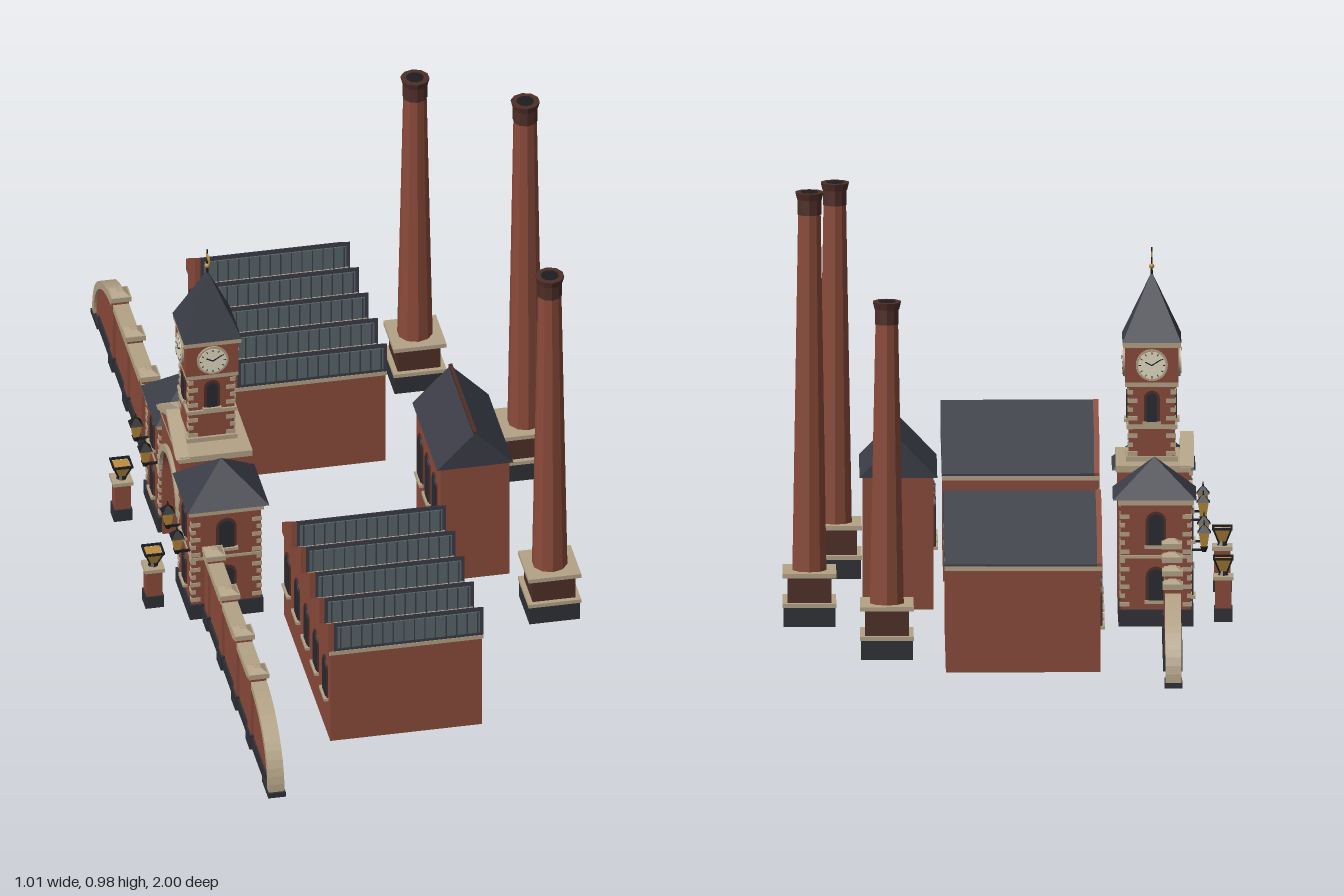
import * as THREE from 'three';

const mat = (name, color) => {
  const m = new THREE.MeshStandardMaterial({ color });
  m.name = name;
  return m;
};

export function createModel() {
  const brick = mat('brick', 0x8a4a3a), darkBrick = mat('dark brick', 0x4e2e27), slate = mat('slate', 0x3a3c46),
    stone = mat('stone', 0xb3a286), plinth = mat('plinth', 0x2e3036), iron = mat('iron', 0x1d1d20),
    gold = mat('gold', 0xbd8f3e), dial = mat('dial', 0xe2dac4), glass = mat('window glass', 0x272a30),
    skylight = mat('skylight', 0x58666a);
  const root = new THREE.Group();
  root.name = 'brickworks';

  // Helpers
  const group = (parent, name, x = 0, y = 0, z = 0, ry = 0) => {
    const g = new THREE.Group();
    g.name = name;
    g.position.set(x, y, z);
    g.rotation.y = ry;
    parent.add(g);
    return g;
  };
  const add = (parent, name, geo, m, x = 0, y = 0, z = 0) => {
    const mesh = new THREE.Mesh(geo, m);
    mesh.name = name;
    mesh.position.set(x, y, z);
    parent.add(mesh);
    return mesh;
  };
  // box standing on y0
  const box = (p, name, m, w, h, d, x, y0, z) => add(p, name, new THREE.BoxGeometry(w, h, d), m, x, y0 + h / 2, z);
  const facet = (g) => {
    const f = g.toNonIndexed();
    f.computeVertexNormals();
    return f;
  };
  const drum = (p, name, m, rt, rb, h, x, y0, z, n = 10) =>
    add(p, name, facet(new THREE.CylinderGeometry(rt, rb, h, n)), m, x, y0 + h / 2, z);
  // four-sided taper
  const taper = (p, name, m, wt, wb, h, d, x, y0, z) => {
    const g = new THREE.CylinderGeometry(wt / Math.SQRT2, wb / Math.SQRT2, h, 4).rotateY(Math.PI / 4);
    g.scale(1, 1, d / wb);
    return add(p, name, facet(g), m, x, y0 + h / 2, z);
  };
  const poly = (pts) => new THREE.Shape(pts.map(([a, b]) => new THREE.Vector2(a, b)));
  // outline in (z, y) extruded along x from x0 to x1
  const slab = (p, name, m, shape, x0, x1) => {
    const g = new THREE.ExtrudeGeometry(shape, { depth: x1 - x0, bevelEnabled: false, curveSegments: 12 });
    return add(p, name, g.rotateY(-Math.PI / 2), m, x1, 0, 0);
  };
  const arched = (w, h) => {
    const s = new THREE.Shape();
    s.moveTo(-w / 2, 0);
    s.lineTo(w / 2, 0);
    s.lineTo(w / 2, h - w / 2);
    s.absarc(0, h - w / 2, w / 2, 0, Math.PI, false);
    return s;
  };
  const archWindow = (p, x, y, z, ry, w, h) => {
    const g = group(p, 'archedWindow', x, y, z, ry);
    const plate = (name, m, ww, hh, depth) =>
      add(g, name, new THREE.ExtrudeGeometry(arched(ww, hh), { depth, bevelEnabled: false, curveSegments: 6 }), m);
    plate('windowSurround', darkBrick, w + 0.012, h + 0.006, 0.003);
    plate('windowPane', glass, w, h, 0.005);
    box(g, 'windowBar', iron, 0.003, h - 0.002, 0.007, 0, 0, 0);
    box(g, 'windowSill', stone, w + 0.018, 0.007, 0.014, 0, -0.007, 0.003);
  };
  // staggered corner stones
  const quoins = (p, x0, x1, z0, z1, y0, y1) => {
    let i = 0;
    for (let y = y0; y < y1 - 0.01; y += 0.02, i++)
      for (const x of [x0, x1]) for (const z of [z0, z1])
        box(p, 'quoin', stone, i % 2 ? 0.012 : 0.022, 0.01, i % 2 ? 0.022 : 0.012,
          x + (x === x0 ? 1 : -1) * (i % 2 ? 0.004 : 0.009), y, z + (z === z0 ? 1 : -1) * (i % 2 ? 0.009 : 0.004));
  };
  const W = -Math.PI / 2;

  // Saw-tooth workshops
  for (const [z0, z1] of [[0.278, 0.802], [-0.806, -0.282]]) {
    const hall = group(root, 'workshop');
    const len = z1 - z0, mid = (z0 + z1) / 2, pitch = len / 5;
    box(hall, 'workshopWalls', brick, 0.346, 0.233, len - 0.004, -0.03, 0, mid);
    box(hall, 'workshopCornice', stone, 0.352, 0.01, len + 0.002, -0.03, 0.231, mid);
    for (let i = 0; i < 5; i++) {
      const a = z0 + i * pitch, b = a + pitch;
      slab(hall, 'sawtoothRoof', slate, poly([[a, 0.24], [b, 0.24], [b, 0.315], [a, 0.246]]), -0.195, 0.146);
      slab(hall, 'sawtoothGable', brick, poly([[a, 0.22], [b, 0.22], [b, 0.317], [a, 0.248]]), -0.207, -0.195);
      box(hall, 'roofGlazing', skylight, 0.325, 0.055, 0.004, -0.025, 0.25, b + 0.001);
      for (let k = 0; k < 14; k++)
        box(hall, 'glazingBar', slate, 0.003, 0.055, 0.005, -0.18 + k * 0.024, 0.25, b + 0.002);
      if (i) box(hall, 'valleyGutter', stone, 0.335, 0.004, 0.006, -0.025, 0.246, a + 0.005);
      archWindow(hall, -0.203, 0.1, a + pitch / 2, W, 0.04, 0.09);
    }
  }

  // Engine house
  const engine = group(root, 'engineHouse', 0.245, 0, 0.083);
  box(engine, 'engineWalls', brick, 0.158, 0.302, 0.27, 0, 0, 0);
  const gable = new THREE.ExtrudeGeometry(poly([[-0.087, 0.301], [0.087, 0.301], [0, 0.391]]), { depth: 0.28, bevelEnabled: false });
  add(engine, 'engineRoof', gable, slate, 0, 0, -0.14);
  box(engine, 'roofRidge', darkBrick, 0.008, 0.008, 0.28, 0, 0.387, 0);
  for (const z of [-0.08, 0, 0.08]) archWindow(engine, -0.079, 0.137, z, W, 0.04, 0.11);

  // Chimneys
  for (const [x, z, h] of [[0.274, -0.6, 0.806], [0.445, -0.202, 0.98], [0.385, 0.37, 0.893]]) {
    const c = group(root, 'chimney', x, 0, z);
    box(c, 'chimneyPlinth', plinth, 0.116, 0.045, 0.116, 0, 0, 0);
    box(c, 'plinthMoulding', stone, 0.12, 0.009, 0.12, 0, 0.044, 0);
    box(c, 'chimneyPedestal', darkBrick, 0.098, 0.06, 0.098, 0, 0.053, 0);
    box(c, 'pedestalCap', stone, 0.12, 0.01, 0.12, 0, 0.111, 0);
    drum(c, 'chimneyShaft', brick, 0.0265, 0.04, h - 0.165, 0, 0.12, 0);
    drum(c, 'chimneyNeck', darkBrick, 0.028, 0.028, 0.035, 0, h - 0.05, 0);
    drum(c, 'chimneyCrown', darkBrick, 0.033, 0.029, 0.016, 0, h - 0.016, 0);
    drum(c, 'flueMouth', iron, 0.02, 0.02, 0.002, 0, h - 0.001, 0);
  }

  // Gatehouses
  for (const s of [1, -1]) {
    const g = group(root, 'gatehouse', -0.33, 0, s * 0.18);
    box(g, 'gatehousePlinth', plinth, 0.168, 0.038, 0.16, 0, 0, 0);
    box(g, 'gatehouseWalls', brick, 0.158, 0.25, 0.15, 0, 0.036, 0);
    box(g, 'stringCourse', stone, 0.162, 0.007, 0.154, 0, 0.155, 0);
    box(g, 'eavesCornice', stone, 0.17, 0.012, 0.162, 0, 0.276, 0);
    taper(g, 'gatehouseRoof', slate, 0.001, 0.187, 0.084, 0.17, 0.003, 0.288, 0);
    quoins(g, -0.079, 0.079, -0.075, 0.075, 0.045, 0.27);
    for (const y of [0.06, 0.185]) {
      archWindow(g, 0, y, s * 0.075, s > 0 ? 0 : Math.PI, 0.034, 0.07);
      archWindow(g, -0.079, y, 0, W, 0.034, 0.07);
    }
    // wall lanterns
    for (const dz of [-0.052, 0.052]) {
      const l = group(g, 'wallLantern', -0.108, 0.165, dz);
      box(l, 'lanternBracket', iron, 0.03, 0.005, 0.005, 0.014, 0.002, 0);
      taper(l, 'lanternGlass', gold, 0.024, 0.014, 0.032, 0.014, 0, 0.013, 0);
      drum(l, 'lanternFoot', iron, 0.01, 0.005, 0.012, 0, 0, 0, 6);
      taper(l, 'lanternHood', iron, 0.006, 0.03, 0.016, 0.03, 0, 0.045, 0);
      drum(l, 'lanternFinial', iron, 0.001, 0.003, 0.012, 0, 0.06, 0, 6);
    }
  }

  // Archway
  const arch = group(root, 'archway');
  const R = 0.092, spring = 0.175;
  const span = poly([[-0.11, 0], [-0.11, 0.325], [0.11, 0.325], [0.11, 0], [R, 0]]);
  span.lineTo(R, spring);
  span.absarc(0, spring, R, 0, Math.PI, false);
  span.lineTo(-R, 0);
  slab(arch, 'archBlock', brick, span, -0.405, -0.245);
  const ring = new THREE.Shape().absarc(0, spring, R + 0.016, 0, Math.PI, false);
  ring.absarc(0, spring, R, Math.PI, 0, true);
  slab(arch, 'archRing', stone, ring, -0.413, -0.405);
  box(arch, 'archRoofSlab', stone, 0.168, 0.015, 0.226, -0.325, 0.323, 0);
  slab(arch, 'pediment', brick, poly([[-0.1, 0.335], [0.1, 0.335], [0, 0.385]]), -0.41, -0.39);
  slab(arch, 'pedimentCoping', stone,
    poly([[-0.115, 0.335], [-0.095, 0.335], [0, 0.382], [0.095, 0.335], [0.115, 0.335], [0, 0.396]]), -0.416, -0.385);

  // Iron gates
  const gates = group(root, 'ironGates', -0.35, 0, 0);
  for (const s of [-1, 1]) {
    for (let i = 0; i < 7; i++)
      box(gates, 'gateBar', iron, 0.005, i % 6 ? 0.18 : 0.19, 0.004, 0, 0.005, s * (0.005 + i * 0.0138));
    for (const y of [0.015, 0.085, 0.165]) box(gates, 'gateRail', iron, 0.005, 0.006, 0.088, 0, y, s * 0.046);
  }

  // Clock tower
  const tower = group(root, 'clockTower', -0.322, 0, 0);
  box(tower, 'towerShaft', brick, 0.104, 0.18, 0.104, 0, 0.335, 0);
  box(tower, 'towerBase', stone, 0.116, 0.012, 0.116, 0, 0.337, 0);
  box(tower, 'towerBand', stone, 0.114, 0.009, 0.114, 0, 0.412, 0);
  quoins(tower, -0.052, 0.052, -0.052, 0.052, 0.35, 0.51);
  box(tower, 'clockStageSill', stone, 0.12, 0.01, 0.12, 0, 0.508, 0);
  box(tower, 'clockStage', brick, 0.12, 0.084, 0.12, 0, 0.518, 0);
  box(tower, 'towerCornice', stone, 0.13, 0.012, 0.13, 0, 0.598, 0);
  taper(tower, 'spire', slate, 0.002, 0.132, 0.148, 0.132, 0, 0.609, 0);
  for (let i = 0; i < 4; i++) {
    const side = group(tower, 'towerSide', 0, 0, 0, i * Math.PI / 2);
    archWindow(side, 0, 0.428, 0.052, 0, 0.024, 0.064);
    const face = group(side, 'clockFace', 0, 0.558, 0.06);
    const disc = (name, m, r, d) => add(face, name, new THREE.CylinderGeometry(r, r, d, 28).rotateX(Math.PI / 2), m);
    disc('clockRim', stone, 0.036, 0.009);
    disc('clockDial', dial, 0.031, 0.012);
    for (const [len, a] of [[0.017, 1.1], [0.024, -1.0]]) {
      const hand = add(face, 'clockHand', new THREE.BoxGeometry(0.0025, len, 0.001).translate(0, len / 2, 0), iron, 0, 0, 0.0065);
      hand.rotation.z = a;
    }
    for (let k = 0; k < 12; k++) {
      const tick = add(face, 'hourMark', new THREE.BoxGeometry(0.0018, 0.005, 0.001).translate(0, 0.027, 0), iron, 0, 0, 0.006);
      tick.rotation.z = k * Math.PI / 6;
    }
  }
  drum(tower, 'finialRod', iron, 0.0015, 0.003, 0.065, 0, 0.75, 0, 6);
  add(tower, 'finialBall', new THREE.SphereGeometry(0.006, 10, 8), gold, 0, 0.772, 0);
  box(tower, 'weathervane', gold, 0.003, 0.012, 0.03, 0, 0.793, 0.012);

  // Boundary walls sweeping down to the ground
  const sweep = (inset, n = 14) => {
    const pts = [[0.07, 0.178 - inset]];
    for (let i = 0; i <= n; i++) {
      const a = (i / n) * Math.PI / 2;
      pts.push([0.775 + (0.22 - inset) * Math.sin(a), 0.012 + (0.166 - inset) * Math.cos(a)]);
    }
    return pts.map(([z, y]) => [z < 0.1 ? 0.25 : z, y]);
  };
  for (const ry of [0, Math.PI]) {
    const w = group(root, 'boundaryWall', -0.365, 0, 0, ry);
    const inner = sweep(0.018);
    slab(w, 'wallPanel', brick, poly([[0.25, 0.005], ...inner, [0.977, 0.005]]), -0.012, 0.012);
    slab(w, 'wallCoping', stone, poly([...sweep(0), ...inner.slice().reverse()]), -0.018, 0.018);
    box(w, 'wallPlinth', plinth, 0.032, 0.03, 0.69, 0, 0, 0.595);
    box(w, 'wallToe', plinth, 0.04, 0.012, 0.07, 0, 0, 0.965);
    for (const z of [0.29, 0.45, 0.615, 0.775]) {
      box(w, 'pierPlinth', plinth, 0.044, 0.036, 0.046, 0, 0, z);
      box(w, 'pier', brick, 0.036, 0.16, 0.036, 0, 0.03, z);
      box(w, 'pierCap', stone, 0.046, 0.012, 0.046, 0, 0.186, z);
      taper(w, 'pierTop', stone, 0.015, 0.04, 0.008, 0.04, 0, 0.198, z);
    }
  }

  // Lamp posts in front of the gate
  for (const z of [-0.182, 0.175]) {
    const p = group(root, 'lampPost', -0.481, 0, z);
    box(p, 'postPlinth', plinth, 0.042, 0.03, 0.042, 0, 0, 0);
    box(p, 'postShaft', brick, 0.036, 0.068, 0.036, 0, 0.028, 0);
    box(p, 'postCap', stone, 0.046, 0.009, 0.046, 0, 0.094, 0);
    drum(p, 'lampFoot', iron, 0.006, 0.012, 0.01, 0, 0.103, 0, 8);
    taper(p, 'lampGlass', gold, 0.036, 0.016, 0.028, 0.016, 0, 0.112, 0);
    for (const a of [-1, 1]) for (const b of [-1, 1]) {
      const path = new THREE.LineCurve3(new THREE.Vector3(a * 0.008, 0.11, b * 0.008), new THREE.Vector3(a * 0.02, 0.142, b * 0.02));
      add(p, 'lampFrame', new THREE.TubeGeometry(path, 1, 0.002, 5), iron);
    }
    for (const s of [-1, 1]) {
      box(p, 'lampRim', iron, 0.046, 0.005, 0.004, 0, 0.14, s * 0.021);
      box(p, 'lampRim', iron, 0.004, 0.005, 0.046, s * 0.021, 0.14, 0);
    }
  }
  return root;
}
